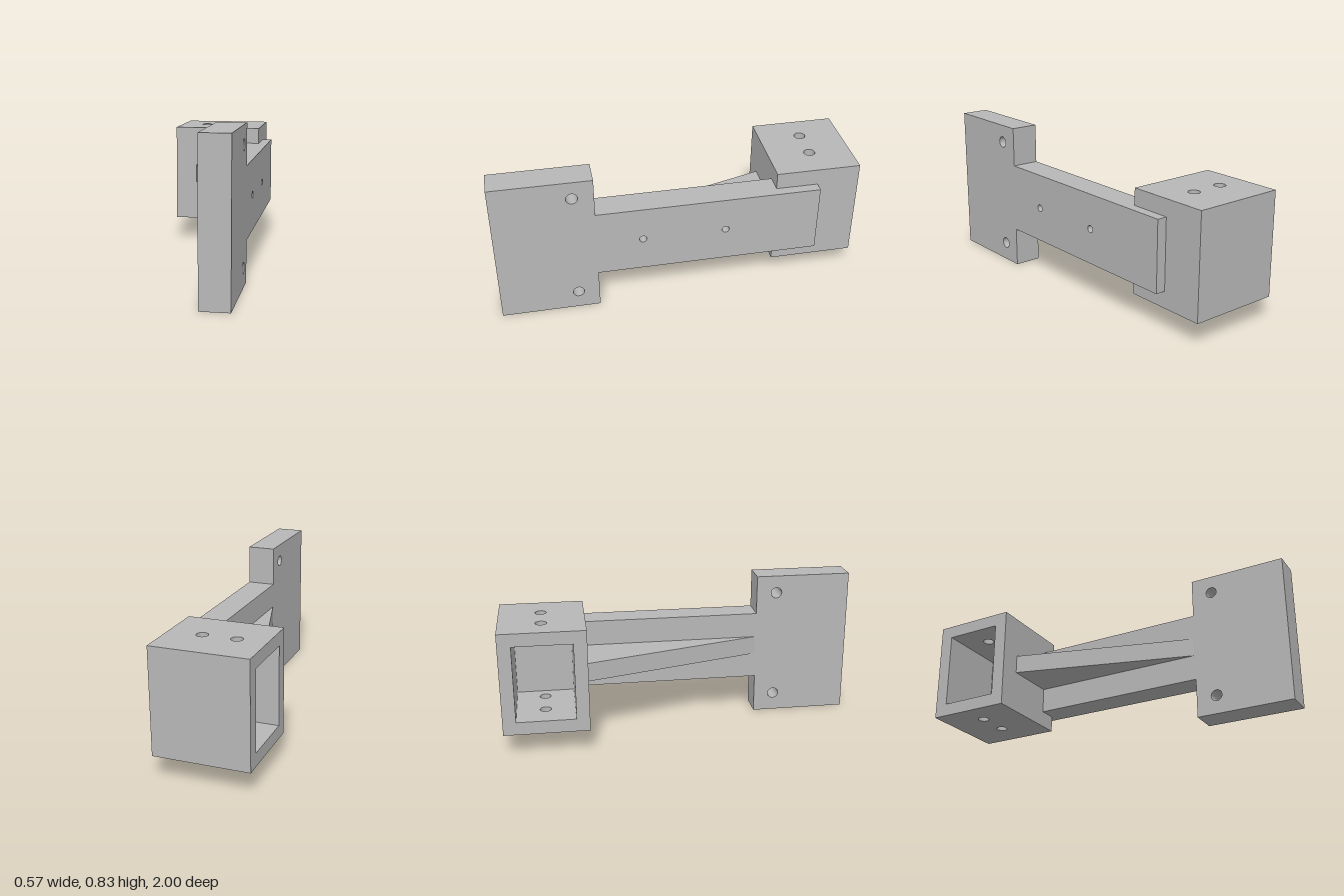
import * as THREE from 'three';

// Shape from corner points, with round holes given as [u, v, radius]
function makeShape(points, holes = []) {
  const shape = new THREE.Shape(points.map(([u, v]) => new THREE.Vector2(u, v)));
  for (const [u, v, r] of holes) {
    const hole = new THREE.Path();
    hole.absarc(u, v, r, 0, Math.PI * 2, true);
    shape.holes.push(hole);
  }
  return shape;
}

const extrude = (shape, depth) =>
  new THREE.ExtrudeGeometry(shape, { depth, bevelEnabled: false, curveSegments: 24 });

// Plan outline in (x, -z), raised from y0 to y1
const raise = (shape, y0, y1) =>
  extrude(shape, y1 - y0).rotateX(-Math.PI / 2).translate(0, y0, 0);

// Side outline in (-z, y), running from x0 to x1
const sideways = (shape, x0, x1) =>
  extrude(shape, x1 - x0).rotateY(Math.PI / 2).translate(x0, 0, 0);

export function createModel() {
  const model = new THREE.Group();
  model.name = 'bracket';
  const grey = new THREE.MeshStandardMaterial({ color: 0xb8b8b8 });
  grey.name = 'grey';

  const add = (name, geometry, parent = model) => {
    const mesh = new THREE.Mesh(geometry, grey);
    mesh.name = name;
    parent.add(mesh);
  };

  // T-shaped plate: mounting head at the front, arm running back
  add('mountingPlate', sideways(makeShape(
    [[-1, 0], [-0.46, 0], [-0.46, 0.222], [0.767, 0.222],
      [0.767, 0.61], [-0.46, 0.61], [-0.46, 0.83], [-1, 0.83]],
    [[-0.575, 0.105, 0.031], [-0.575, 0.73, 0.031],
      [-0.21, 0.417, 0.02], [0.245, 0.417, 0.02]],
  ), 0.13, 0.285));

  // Triangular rib bracing the arm against the socket
  add('rib', raise(makeShape([[-0.16, 0.535], [0.13, -0.455], [0.13, 0.535]]), 0.365, 0.469));

  // Hollow socket, open on the side away from the plate
  const socket = new THREE.Group();
  socket.name = 'socket';
  model.add(socket);
  const [x0, x1, back, front, wall, inner] = [-0.285, 0.23, 1, 0.535, 0.072, 0.13];
  const lid = makeShape(
    [[x0, front], [x1, front], [x1, back], [x0, back]],
    [[-0.13, 0.77, 0.031], [0.05, 0.77, 0.031]],
  );
  add('socketFloor', raise(lid, 0.131, 0.131 + wall), socket);
  add('socketRoof', raise(lid, 0.702 - wall, 0.702), socket);
  add('socketWalls', raise(makeShape([
    [x0, front], [x1, front], [x1, back], [x0, back],
    [x0, back - wall], [inner, back - wall], [inner, front + wall], [x0, front + wall],
  ]), 0.131 + wall, 0.702 - wall), socket);

  return model;
}
